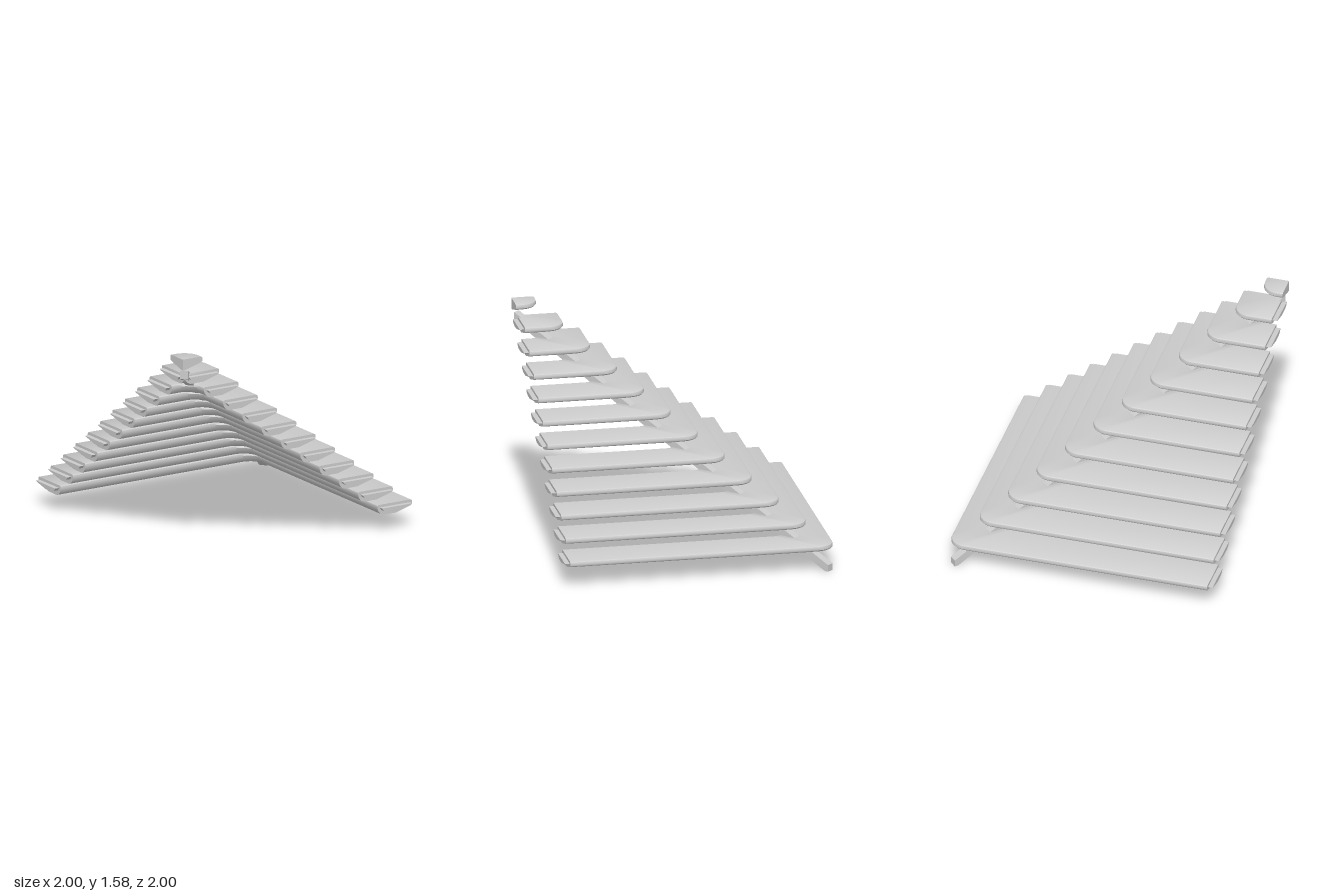
import * as THREE from 'three';
import { toCreasedNormals } from 'three/addons/utils/BufferGeometryUtils.js';

const COUNT = 12, RUN = 0.1664, RISE = 0.125, RADIUS = 0.12, ARM_END = 0.965, ARC = 12;

// Tread section: [distance in from the outer edge, height], outer top round to inner top
const SECTION = [
  [0.012, 0.203], [0.003, 0.197], [0, 0.187], [0, 0.172], [0.006, 0.163], [0.02, 0.157],
  [0.14, 0.123], [0.25, 0.123], [0.275, 0.135], [0.293, 0.158], [0.3, 0.185], [0.297, 0.197], [0.29, 0.203],
];
// Smaller section of the mounting tongues on the tread ends
const TONGUE = [[0.022, 0.183], [0.04, 0.175], [0.15, 0.15], [0.23, 0.15], [0.265, 0.162], [0.28, 0.183]];

// Sweeps a section along an L with a rounded corner and closes both ends
function sweepL(section, outer, end) {
  const pos = [], index = [], cols = ARC + 3;
  for (const [d, y] of section) {
    const edge = outer - d;
    const r = Math.max(0, Math.min(RADIUS, edge + end));
    pos.push(edge, y, end);
    for (let k = 0; k <= ARC; k++) {
      const t = (k / ARC) * Math.PI / 2;
      pos.push(edge - r + r * Math.cos(t), y, -(edge - r) - r * Math.sin(t));
    }
    pos.push(-end, y, -edge);
  }
  const n = section.length;
  for (let i = 0; i < n; i++) {
    const next = (i + 1) % n;
    for (let j = 0; j < cols - 1; j++) {
      const a = i * cols + j, b = next * cols + j;
      index.push(a, b, a + 1, b, b + 1, a + 1);
    }
  }
  for (let i = 1; i < n - 1; i++) {
    const p = i * cols, q = (i + 1) * cols, last = cols - 1;
    index.push(0, q, p, last, p + last, q + last);
  }
  const geo = new THREE.BufferGeometry();
  geo.setAttribute('position', new THREE.Float32BufferAttribute(pos, 3));
  geo.setIndex(index);
  return toCreasedNormals(geo, 0.6);
}

function extrude(points, depth) {
  const shape = new THREE.Shape(points.map(([x, y]) => new THREE.Vector2(x, y)));
  return new THREE.ExtrudeGeometry(shape, { depth, bevelEnabled: false });
}

export function createModel() {
  const model = new THREE.Group();
  model.name = 'cornerStaircase';
  const material = new THREE.MeshStandardMaterial({ color: 0xcccccc });
  const add = (parent, geo, name) => {
    const mesh = new THREE.Mesh(geo, material);
    mesh.name = name;
    parent.add(mesh);
    return mesh;
  };

  // Nested L-shaped treads, shrinking towards the front right corner
  for (let i = 0; i < COUNT; i++) {
    const step = new THREE.Group();
    step.name = `step${i + 1}`;
    step.position.y = i * RISE;
    model.add(step);
    const outer = 1 - i * RUN;

    if (i === COUNT - 1) {
      // Top tread is a corner piece cut flush with both walls
      const width = outer + 1;
      const cut = [...SECTION.filter(([d]) => d < width - 0.001).slice(0, 7), [width, 0.123], [width, 0.203]];
      add(step, sweepL(cut, outer, 1), 'topTread');
      continue;
    }
    add(step, sweepL(SECTION, outer, ARM_END), 'tread');

    // Tongues that enter the two walls
    const depth = 1 - ARM_END;
    const front = add(step, extrude(TONGUE.map(([d, y]) => [outer - d, y]), depth), 'frontTongue');
    front.position.z = ARM_END;
    const side = add(step, extrude(TONGUE.map(([d, y]) => [d - outer, y]), depth), 'sideTongue');
    side.rotation.y = -Math.PI / 2;
    side.position.x = -ARM_END;
  }

  // Sloping stringer on the diagonal, with a plumb-cut foot and head
  const s = 0.968 * Math.SQRT2, slope = 0.74 / Math.SQRT2, width = 0.06;
  const head = 0.05 + 2 * s * slope;
  const beam = extrude([[s, 0], [s, 0.05], [-s, head], [-s, head - 0.065], [s - 0.015 / slope, 0]], width);
  beam.translate(0, 0, -width / 2);
  add(model, beam, 'stringer').rotation.y = Math.PI / 4;

  return model;
}
